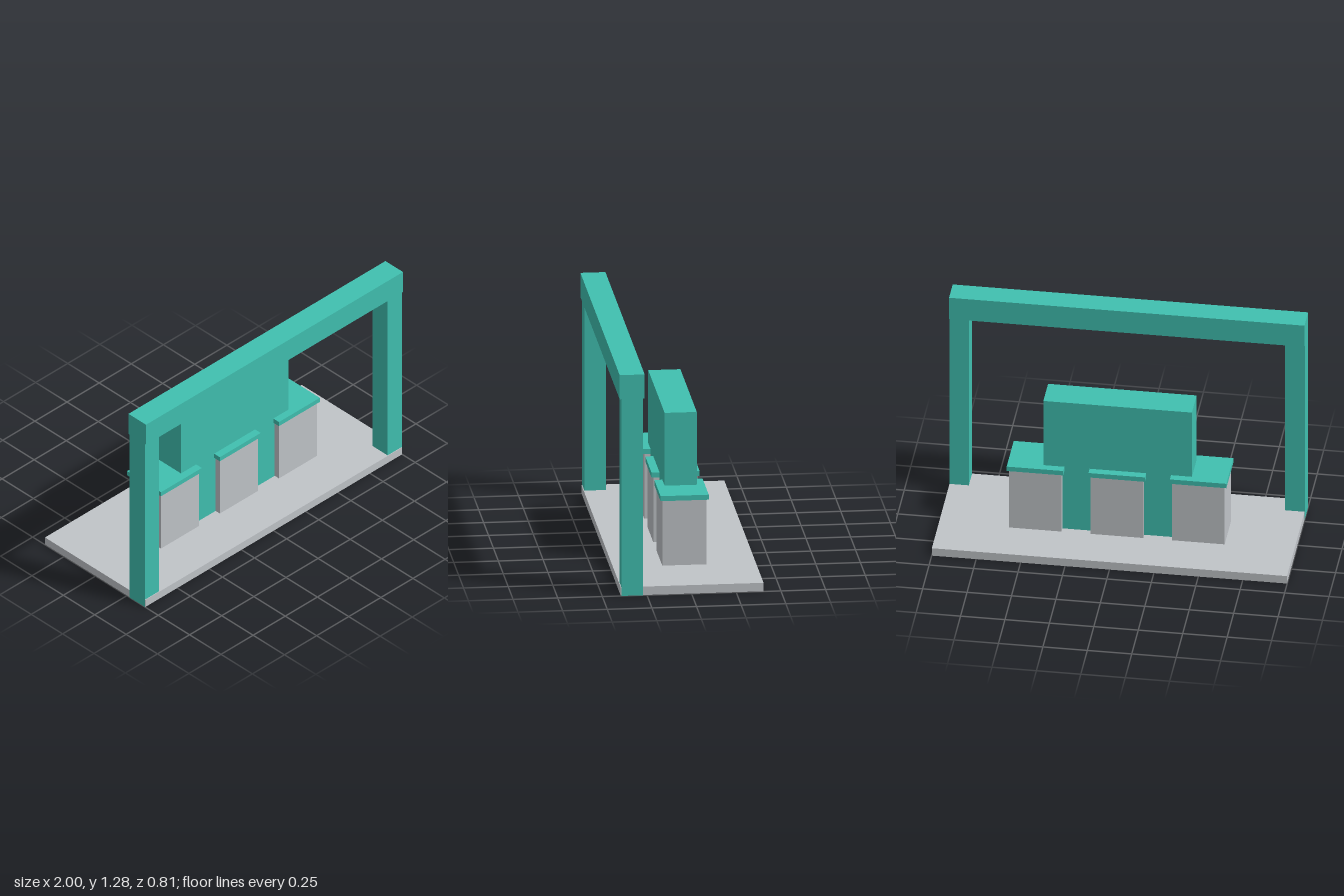
import * as THREE from 'three';

export function createModel() {
  const model = new THREE.Group();
  const teal = new THREE.MeshStandardMaterial({ color: 0x40c0b0 });
  teal.name = 'teal';
  const grey = new THREE.MeshStandardMaterial({ color: 0xc0c4c8 });
  grey.name = 'light grey';

  // Box given by its lower and upper limits on each axis
  function addBox(name, material, [x0, x1], [y0, y1], [z0, z1]) {
    const mesh = new THREE.Mesh(new THREE.BoxGeometry(x1 - x0, y1 - y0, z1 - z0), material);
    mesh.position.set((x0 + x1) / 2, (y0 + y1) / 2, (z0 + z1) / 2);
    mesh.name = name;
    model.add(mesh);
  }

  // Floor slab, a hair inside the posts so their faces stay clean
  addBox('floorSlab', grey, [-0.999, 0.999], [0.001, 0.05], [-0.403, 0.397]);

  // Backdrop wall standing through the slab
  addBox('backdropWall', teal, [-0.419, 0.417], [0, 0.88], [-0.093, 0.087]);

  // Three counters with overhanging tops
  for (const [side, x] of [['right', -0.46], ['middle', -0.002], ['left', 0.458]]) {
    addBox(`${side}Counter`, grey, [x - 0.148, x + 0.148], [0.05, 0.428], [-0.127, 0.121]);
    addBox(`${side}CounterTop`, teal, [x - 0.159, x + 0.159], [0.428, 0.457], [-0.138, 0.132]);
  }

  // Front gateway: two posts and a crossbeam
  addBox('rightPost', teal, [-1, -0.89], [0, 1.143], [0.273, 0.393]);
  addBox('leftPost', teal, [0.89, 1], [0, 1.143], [0.273, 0.393]);
  addBox('crossbeam', teal, [-1, 1], [1.143, 1.283], [0.263, 0.403]);

  return model;
}
